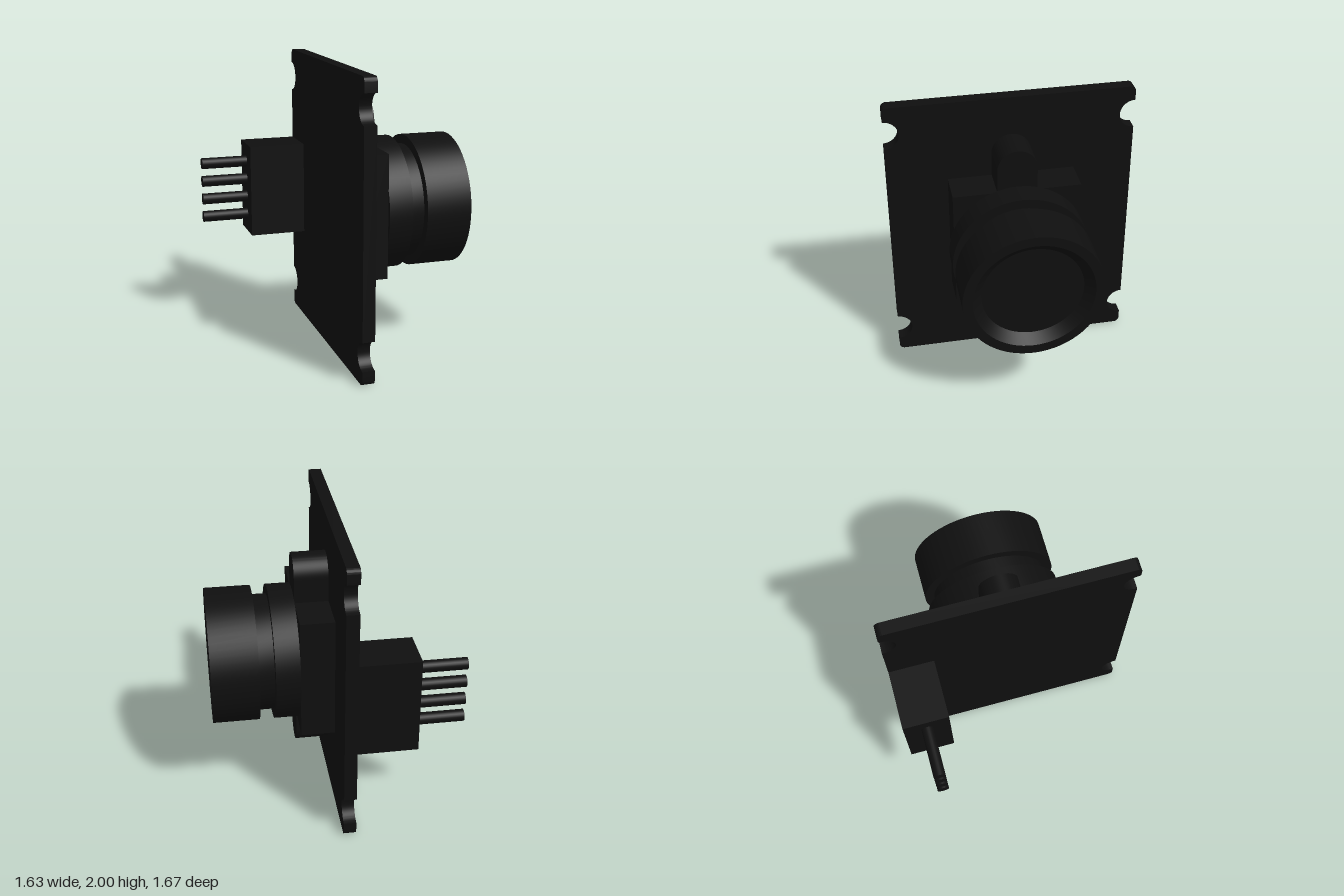
import * as THREE from 'three';
import { toCreasedNormals } from 'three/addons/utils/BufferGeometryUtils.js';

export function createModel() {
  const group = new THREE.Group();
  const material = new THREE.MeshStandardMaterial({ color: 0x0f0f0f });

  function add(name, geometry, x = 0, y = 0, z = 0) {
    const mesh = new THREE.Mesh(geometry, material);
    mesh.name = name;
    mesh.position.set(x, y, z);
    group.add(mesh);
  }

  // Extrudes a (z, y) outline along +x
  function extrudeX(shape, depth) {
    const g = new THREE.ExtrudeGeometry(shape, { depth, bevelEnabled: false, curveSegments: 20 });
    g.rotateY(Math.PI / 2);
    return toCreasedNormals(g, 0.5);
  }

  // Circuit board with rounded corners and four half-round edge notches
  const w = 0.835, h = 2, r = 0.035, n = 0.1, q = Math.PI / 2;
  const board = new THREE.Shape();
  board.moveTo(-w + r, 0);
  board.absarc(w - r, r, r, -q, 0, false);
  for (const y of [0.2, h - 0.2]) board.absarc(w, y, n, -q, q, true);
  board.absarc(w - r, h - r, r, 0, q, false);
  board.absarc(-w + r, h - r, r, q, 2 * q, false);
  for (const y of [h - 0.2, 0.2]) board.absarc(-w, y, n, q, -q, true);
  board.absarc(-w + r, r, r, 2 * q, 3 * q, false);
  add('circuitBoard', extrudeX(board, 0.085), -0.085);

  // Square lens mount with a round-ended mounting bar through it
  add('lensMount', new THREE.BoxGeometry(0.23, 0.86, 0.86), 0.115, 1, 0);
  const barRadius = 0.133;
  const bar = new THREE.Shape();
  bar.absarc(0, 1.73 - barRadius, barRadius, 0, Math.PI, false);
  bar.absarc(0, 0.27 + barRadius, barRadius, Math.PI, 2 * Math.PI, false);
  add('mountingBar', extrudeX(bar, 0.23));

  // Lens barrel with a groove and a bevelled front recess
  const profile = [
    [0, 0.23], [0.465, 0.23], [0.465, 0.395], [0.4, 0.395], [0.4, 0.5],
    [0.465, 0.5], [0.465, 0.817], [0.4, 0.817], [0.335, 0.757], [0, 0.757],
  ].map(([radius, x]) => new THREE.Vector2(radius, x));
  const barrel = new THREE.LatheGeometry(profile, 64);
  barrel.rotateZ(-Math.PI / 2);
  add('lensBarrel', toCreasedNormals(barrel, 0.5), 0, 1, 0);

  // Connector block and its row of pins behind the board
  add('connectorBlock', new THREE.BoxGeometry(0.4, 0.665, 0.31), -0.285, 1.0025, -0.68);
  const pin = new THREE.CylinderGeometry(0.04, 0.04, 0.34, 24);
  pin.rotateZ(Math.PI / 2);
  for (let i = 0; i < 4; i++) add('pin' + (i + 1), pin, -0.647, 0.803 + i * 0.1333, -0.68);

  return group;
}
